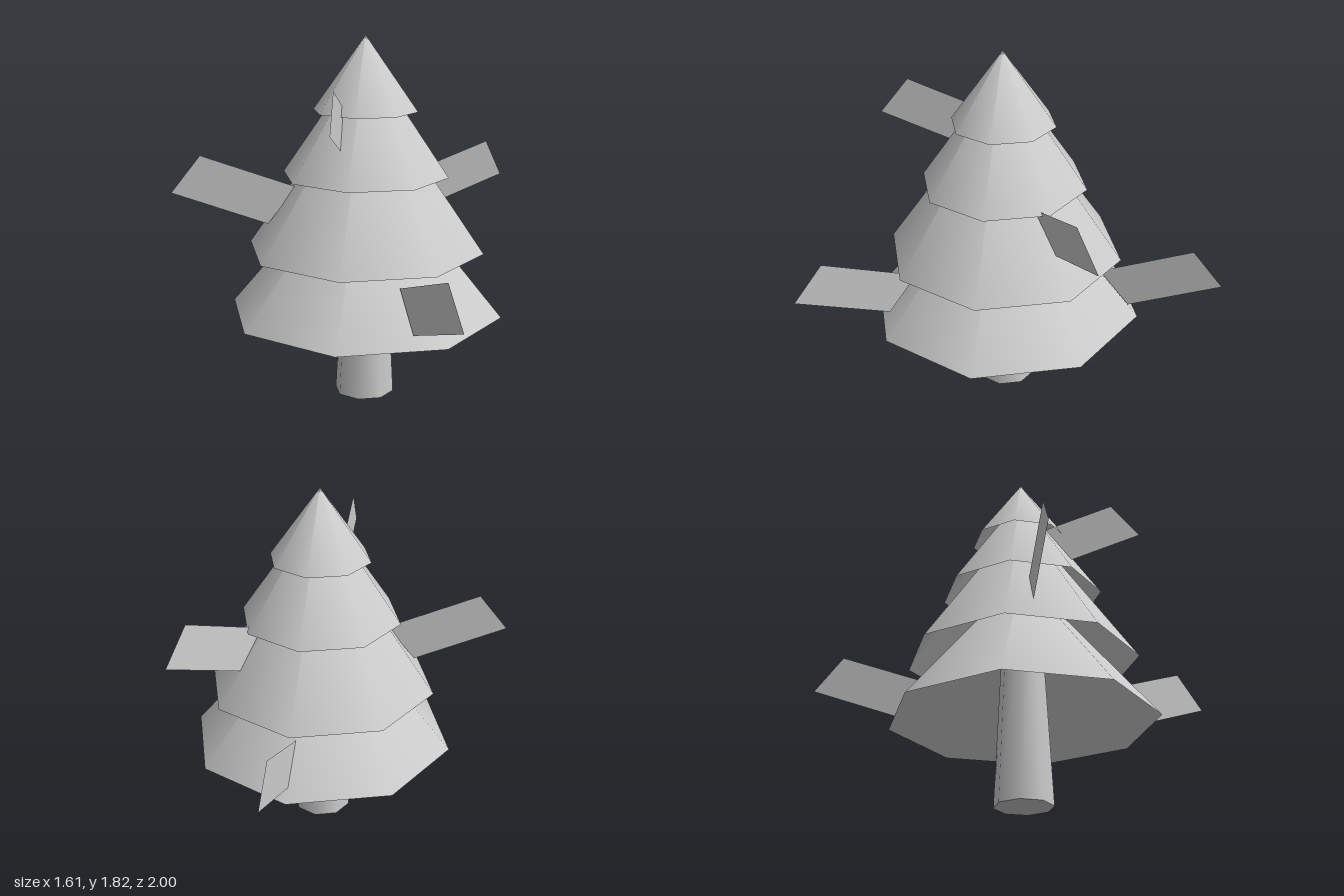
import * as THREE from 'three';

const SIDES = 8;
const AXIS_X = 0.11, AXIS_Z = 0.1;

const material = new THREE.MeshStandardMaterial({ color: 0xcccccc, side: THREE.DoubleSide });

function addMesh(parent, geometry, name) {
  const mesh = new THREE.Mesh(geometry, material);
  mesh.name = name;
  parent.add(mesh);
  return mesh;
}

// Flat parallelogram from its upper outer, lower outer and lower inner corners
function cardGeometry(upperOuter, lowerOuter, lowerInner) {
  const upperInner = upperOuter.map((v, i) => v + lowerInner[i] - lowerOuter[i]);
  const geometry = new THREE.BufferGeometry();
  geometry.setAttribute('position', new THREE.Float32BufferAttribute(
    [...upperOuter, ...lowerOuter, ...lowerInner, ...upperInner], 3));
  geometry.setIndex([0, 1, 2, 0, 2, 3]);
  geometry.computeVertexNormals();
  return geometry;
}

export function createModel() {
  const model = new THREE.Group();
  model.name = 'firTree';

  // Tapered trunk, running up inside the lowest tier
  const trunkHeight = 0.8;
  const trunk = addMesh(model,
    new THREE.CylinderGeometry(0.109, 0.15, trunkHeight, SIDES), 'trunk');
  trunk.position.set(AXIS_X, trunkHeight / 2, AXIS_Z);

  // Stacked open cones of foliage: [radius, base height, tip height]
  const tiers = [
    [0.69, 0.435, 1.26],
    [0.595, 0.757, 1.61],
    [0.415, 1.132, 1.735],
    [0.26, 1.45, 1.815],
  ];
  tiers.forEach(([radius, base, tip], i) => {
    const tier = addMesh(model,
      new THREE.ConeGeometry(radius, tip - base, SIDES, 1, true), `foliageTier${i + 1}`);
    tier.position.set(AXIS_X, (base + tip) / 2, AXIS_Z);
  });

  // Thin branch cards poking out of the foliage
  const branches = {
    frontLeftBranch: [[0.625, 0.85, 0.88], [0.71, 0.667, 1.0], [0.44, 0.5, 0.617]],
    backBranch: [[0.11, 0.85, -0.85], [0.11, 0.67, -1.0], [0.11, 0.5, -0.54]],
    rightBranch: [[-0.67, 1.235, 0.312], [-0.81, 1.05, 0.352], [-0.357, 0.885, 0.222]],
    backLeftBranch: [[0.66, 1.235, -0.365], [0.73, 1.04, -0.48], [0.39, 0.923, -0.187]],
    frontTopBranch: [[0.06, 1.61, 0.59], [0.075, 1.43, 0.73], [0.037, 1.26, 0.27]],
  };
  for (const [name, corners] of Object.entries(branches)) {
    addMesh(model, cardGeometry(...corners), name);
  }

  return model;
}
